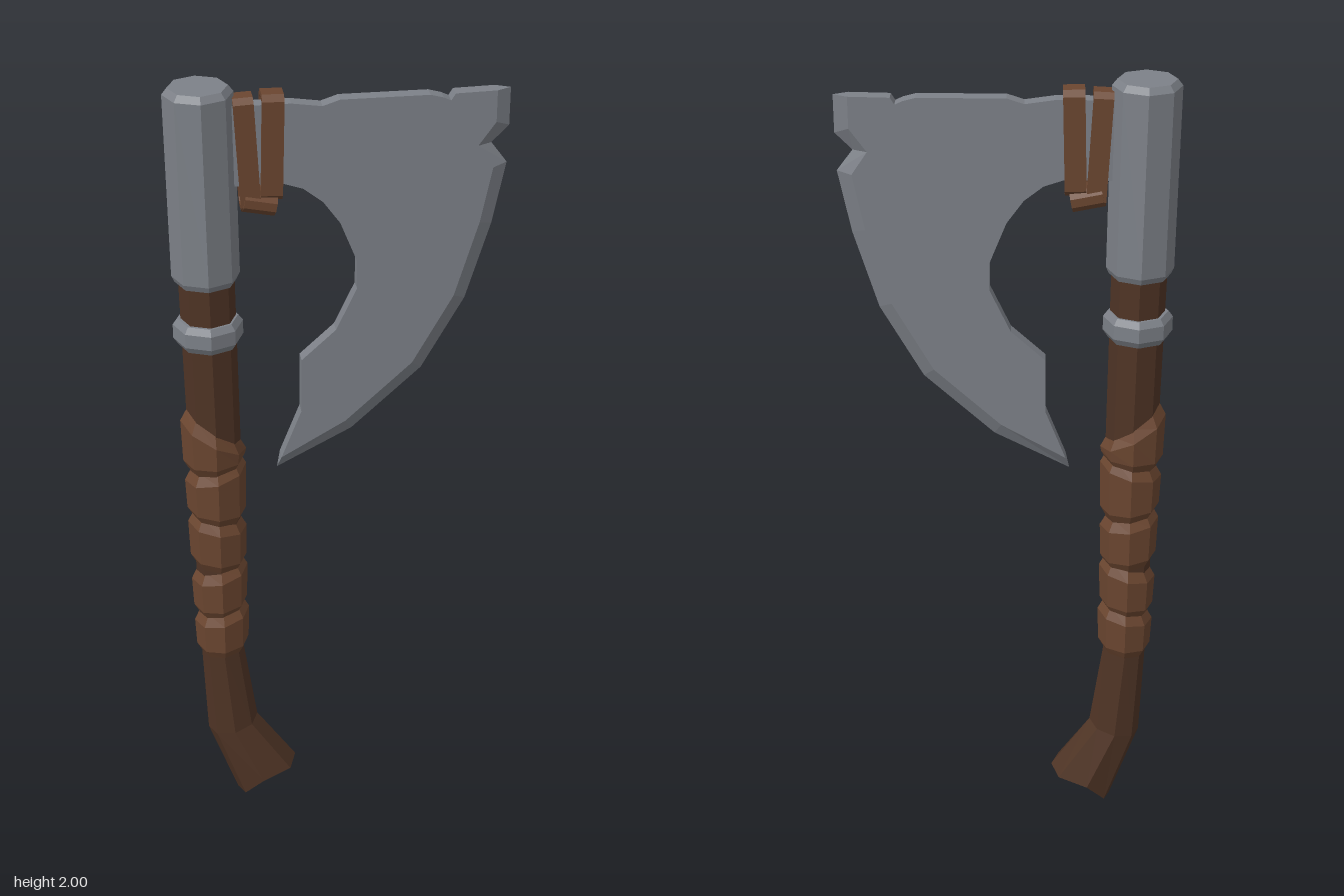
import * as THREE from 'three';

const mat = (color) => new THREE.MeshStandardMaterial({ color, flatShading: true });
const steel = mat(0x7d8188), wood = mat(0x4f3425), leather = mat(0x6b4630);

function mesh(name, geometry, material) {
  const m = new THREE.Mesh(geometry, material);
  m.name = name;
  return m;
}

function triangles(points) {
  const g = new THREE.BufferGeometry().setFromPoints(points);
  g.computeVertexNormals();
  return g;
}

// Octagonal ring; tilt raises its +x side by that much and lowers the other
function ring(x, y, rx, rz = rx, tilt = 0) {
  return Array.from({ length: 8 }, (_, i) => {
    const a = (i * Math.PI) / 4;
    return new THREE.Vector3(x + Math.cos(a) * rx, y + Math.cos(a) * tilt, Math.sin(a) * rz);
  });
}

// Skin over rings listed from bottom to top, closed at both ends
function loft(rings) {
  const pts = [], n = 8;
  const mid = (r) => r.reduce((s, p) => s.add(p), new THREE.Vector3()).divideScalar(n);
  const low = rings[0], high = rings[rings.length - 1];
  const cl = mid(low), ch = mid(high);
  for (let i = 0; i < n; i++) {
    const j = (i + 1) % n;
    for (let k = 0; k < rings.length - 1; k++) {
      const a = rings[k], b = rings[k + 1];
      pts.push(a[i], b[i], b[j], a[i], b[j], a[j]);
    }
    pts.push(cl, low[i], low[j], ch, high[j], high[i]);
  }
  return triangles(pts);
}

// Flat strap bent into a closed loop in the yz plane, width along x
function strap(width, height, depth, thick) {
  const outline = (h, d) => {
    const c = d * 0.4;
    return [[-d, c - h], [c - d, -h], [d - c, -h], [d, c - h], [d, h - c], [d - c, h], [c - d, h], [-d, h - c]]
      .map(([x, y]) => new THREE.Vector2(x, y));
  };
  const s = new THREE.Shape(outline(height / 2, depth / 2));
  s.holes.push(new THREE.Path(outline(height / 2 - thick, depth / 2 - thick)));
  return new THREE.ExtrudeGeometry(s, { depth: width, bevelEnabled: false })
    .translate(0, 0, -width / 2).rotateY(Math.PI / 2);
}

function blade() {
  const g = new THREE.Group();
  g.name = 'blade';
  const T = 0.018;
  // Sharp edge from top to lower tip, and the line where its bevel starts
  const edge = [[0.392, 1.96], [0.392, 1.87], [0.352, 1.83], [0.39, 1.78], [0.36, 1.63],
    [0.302, 1.44], [0.2, 1.26], [0.03, 1.105], [-0.155, 1.01]];
  const inner = [[0.358, 1.96], [0.358, 1.885], [0.318, 1.83], [0.355, 1.775], [0.328, 1.64],
    [0.272, 1.455], [0.175, 1.283], [0.013, 1.135], [-0.145, 1.045]];
  const back = [[-0.095, 1.17], [-0.093, 1.31], [-0.01, 1.385], [0.04, 1.49], [0.04, 1.56], [0, 1.66],
    [-0.04, 1.715], [-0.085, 1.75], [-0.13, 1.765], [-0.27, 1.765], [-0.27, 1.955], [-0.11, 1.955],
    [-0.04, 1.945], [0, 1.958], [0.205, 1.958], [0.235, 1.95], [0.252, 1.942], [0.262, 1.958]];
  const shape = new THREE.Shape([...inner, ...back].map(([x, y]) => new THREE.Vector2(x, y)));
  const body = new THREE.ExtrudeGeometry(shape, { depth: 2 * T, bevelEnabled: false }).translate(0, 0, -T);
  g.add(mesh('bladeBody', body, steel));

  const v = ([x, y], z) => new THREE.Vector3(x, y, z);
  const pts = [];
  const last = edge.length - 1;
  for (let i = 0; i < last; i++) {
    const e = v(edge[i], 0), f = v(edge[i + 1], 0);
    const a = v(inner[i], T), b = v(inner[i + 1], T), c = v(inner[i], -T), d = v(inner[i + 1], -T);
    pts.push(a, b, f, a, f, e, c, f, d, c, e, f);
  }
  pts.push(v(inner[0], T), v(edge[0], 0), v(inner[0], -T));
  pts.push(v(inner[last], T), v(inner[last], -T), v(edge[last], 0));
  g.add(mesh('cuttingEdge', triangles(pts), steel));
  return g;
}

export function createModel() {
  const axe = new THREE.Group();
  axe.name = 'axe';

  // Handle, curving forward into a flared, notched foot
  const foot = [[-0.12, 0.1, 0], [-0.14, 0.095, 0.055], [-0.215, 0.08, 0.08], [-0.262, 0.025, 0.055],
    [-0.277, 0.005, 0], [-0.262, 0.025, -0.055], [-0.215, 0.08, -0.08], [-0.14, 0.095, -0.055]]
    .map((p) => new THREE.Vector3(...p));
  axe.add(mesh('handle', loft([
    foot,
    ring(-0.285, 0.235, 0.065, 0.06, 0.015),
    ring(-0.307, 0.5, 0.053, 0.052),
    ring(-0.307, 1.1, 0.064),
    ring(-0.312, 1.56, 0.066),
  ]), wood));

  // Steel socket and collar
  axe.add(mesh('socket', loft([
    ring(-0.313, 1.53, 0.073), ring(-0.313, 1.545, 0.08),
    ring(-0.316, 1.985, 0.08), ring(-0.316, 2, 0.068),
  ]), steel));
  axe.add(mesh('collar', loft([
    ring(-0.312, 1.368, 0.072), ring(-0.312, 1.385, 0.083),
    ring(-0.312, 1.42, 0.083), ring(-0.312, 1.435, 0.072),
  ]), steel));

  // Leather grip: [x, bottom, top, radius, bottom tilt, top tilt]
  const bands = [
    [-0.304, 0.49, 0.605, 0.067, 0.006, 0.014],
    [-0.306, 0.615, 0.735, 0.068, 0.008, 0.016],
    [-0.307, 0.755, 0.88, 0.07, -0.006, -0.012],
    [-0.307, 0.895, 1.03, 0.073, -0.006, 0.018],
    [-0.309, 1.04, 1.135, 0.076, 0.004, -0.045],
  ];
  const grip = new THREE.Group();
  grip.name = 'grip';
  for (const [x, y0, y1, r, t0, t1] of bands) {
    grip.add(mesh('gripBand', loft([
      ring(x, y0 - 0.012, r - 0.013, r - 0.013, t0),
      ring(x, y0 + 0.012, r, r, t0),
      ring(x, y1 - 0.02, r + 0.003, r + 0.003, t1),
      ring(x, y1 + 0.012, r - 0.014, r - 0.014, t1),
    ]), leather));
  }
  axe.add(grip, blade());

  // Leather straps tying the blade to the socket: [x, y, width, height, depth, lean]
  const straps = [
    [-0.212, 1.84, 0.046, 0.27, 0.064, 0.05],
    [-0.155, 1.855, 0.05, 0.25, 0.068, -0.03],
    [-0.185, 1.722, 0.075, 0.05, 0.075, -0.2],
  ];
  for (const [x, y, w, h, d, lean] of straps) {
    const s = mesh('strap', strap(w, h, d, 0.012), leather);
    s.position.set(x, y, 0);
    s.rotation.z = lean;
    axe.add(s);
  }
  return axe;
}
